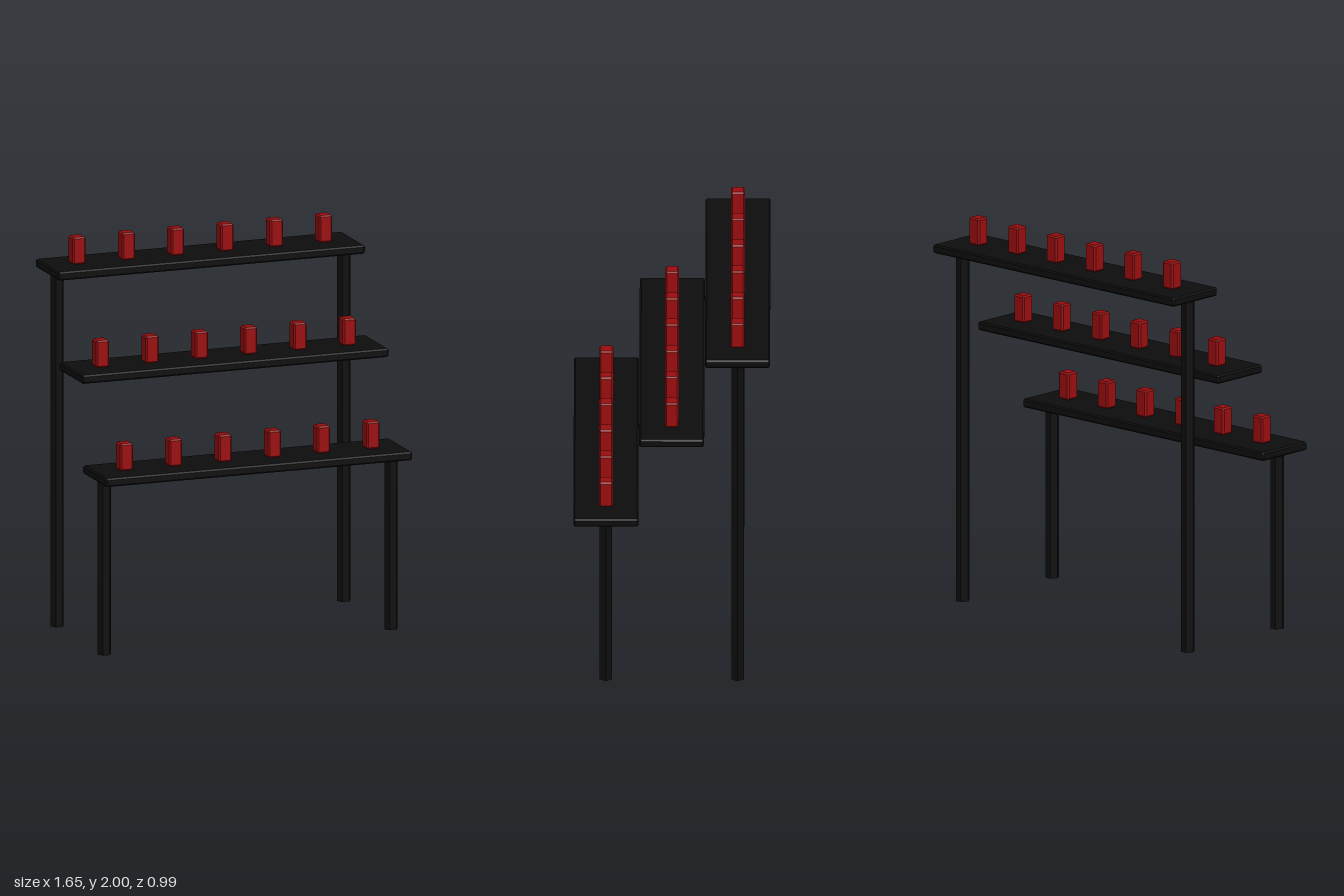
import * as THREE from 'three';
import { ConvexGeometry } from 'three/addons/geometries/ConvexGeometry.js';

// Box with chamfered edges
function chamferBox(w, h, d, c) {
  const half = [w / 2, h / 2, d / 2];
  const points = [];
  for (const sx of [-1, 1]) for (const sy of [-1, 1]) for (const sz of [-1, 1]) {
    for (let axis = 0; axis < 3; axis++) {
      const p = half.map((v, i) => (i === axis ? v : v - c));
      points.push(new THREE.Vector3(p[0] * sx, p[1] * sy, p[2] * sz));
    }
  }
  return new ConvexGeometry(points);
}

export function createModel() {
  const group = new THREE.Group();

  const black = new THREE.MeshStandardMaterial({ color: 0x0d0d0d, flatShading: true });
  black.name = 'black';
  const red = new THREE.MeshStandardMaterial({ color: 0x990d0f, flatShading: true });
  red.name = 'red';

  function add(name, geometry, material, x, y, z) {
    const mesh = new THREE.Mesh(geometry, material);
    mesh.name = name;
    mesh.position.set(x, y, z);
    group.add(mesh);
  }

  const shelfThickness = 0.044;
  const canHeight = 0.14;
  const shelfGeometry = chamferBox(1.648, shelfThickness, 0.326, 0.008);
  const canGeometry = chamferBox(0.07, canHeight, 0.07, 0.008);

  // Stepped tiers, front to back; the middle one has no legs
  const tiers = [
    { name: 'front', top: 0.942, z: 0.33, legs: true },
    { name: 'middle', top: 1.401, z: 0, legs: false },
    { name: 'back', top: 1.86, z: -0.33, legs: true },
  ];

  for (const { name, top, z, legs } of tiers) {
    add(name + 'Shelf', shelfGeometry, black, 0, top - shelfThickness / 2, z);

    // Row of six cans
    for (let i = 0; i < 6; i++) {
      add(name + 'Can' + (i + 1), canGeometry, red, (i - 2.5) * 0.265, top + canHeight / 2, z);
    }

    // Six-sided legs at both ends
    if (legs) {
      const height = top - shelfThickness + 0.005;
      const legGeometry = new THREE.CylinderGeometry(0.036, 0.036, height, 6, 1, false, Math.PI / 6);
      add(name + 'LeftLeg', legGeometry, black, 0.77, height / 2, z);
      add(name + 'RightLeg', legGeometry, black, -0.77, height / 2, z);
    }
  }

  return group;
}
